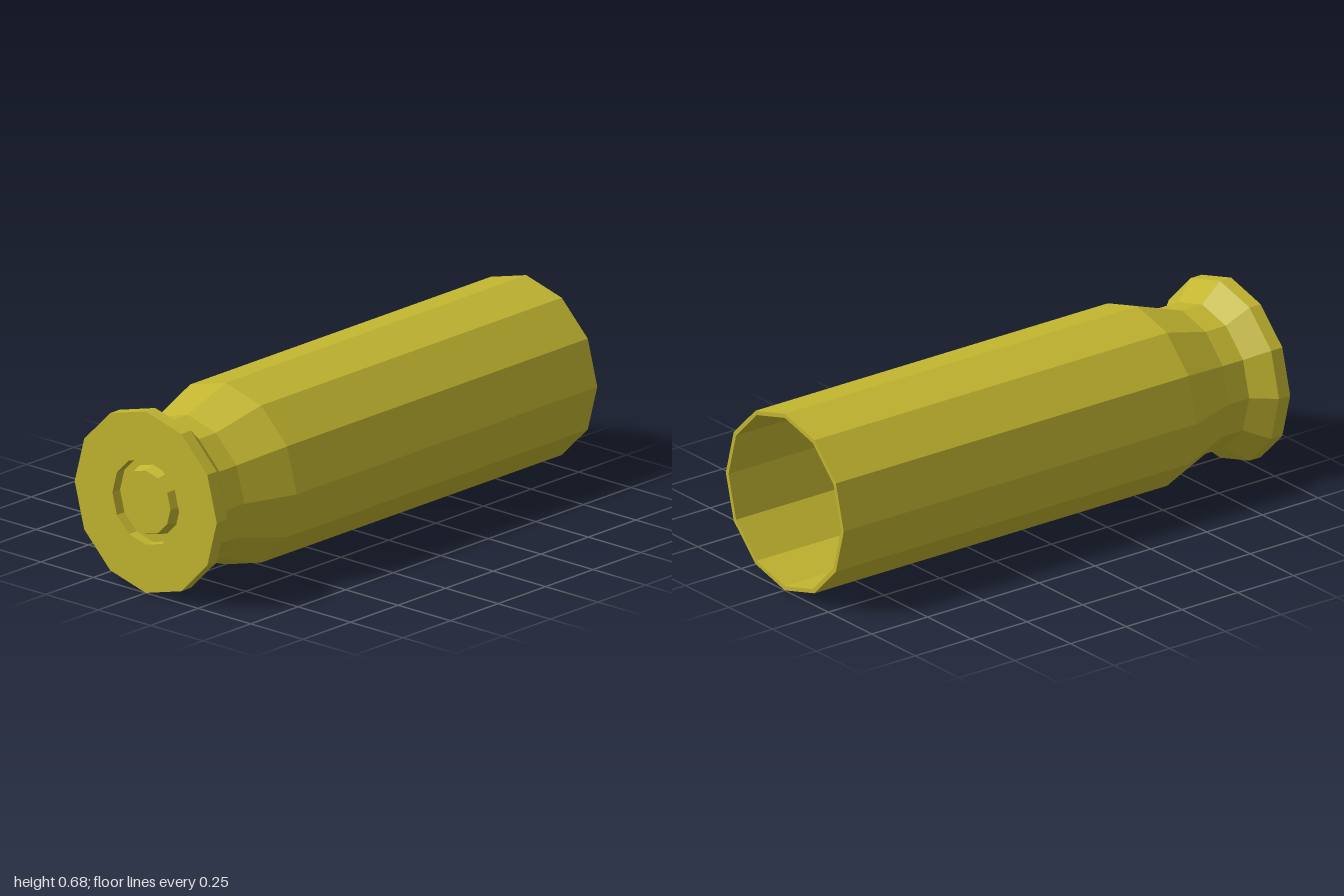
import * as THREE from 'three';

const SIDES = 12;
const RADIUS = 0.339;

export function createModel() {
  const model = new THREE.Group();
  model.name = 'cartridgeCase';
  const brass = new THREE.MeshStandardMaterial({ color: 0xc2b530, flatShading: true });

  // Revolves [radius, z] pairs around the long axis
  const turned = (name, profile) => {
    const points = profile.map(([r, z]) => new THREE.Vector2(r, z));
    const geometry = new THREE.LatheGeometry(points, SIDES);
    geometry.rotateX(Math.PI / 2);
    geometry.translate(0, RADIUS, 0);
    const mesh = new THREE.Mesh(geometry, brass);
    mesh.name = name;
    model.add(mesh);
  };

  // Hollow body: inner floor and wall, open mouth, then the outer wall
  turned('body', [
    [0, 0.58], [0.323, 0.58], [0.323, -1], [RADIUS, -1], [RADIUS, 0.58], [0.27, 0.78],
  ]);

  // Extractor groove, rim and the primer pocket in the base
  turned('rim', [
    [0.27, 0.78], [0.27, 0.87], [RADIUS, 0.95], [RADIUS, 1],
    [0.159, 1], [0.159, 0.96], [0.13, 0.96],
  ]);

  // Raised primer with tapered edge
  turned('primer', [[0.13, 0.96], [0.118, 1], [0, 1]]);

  return model;
}
